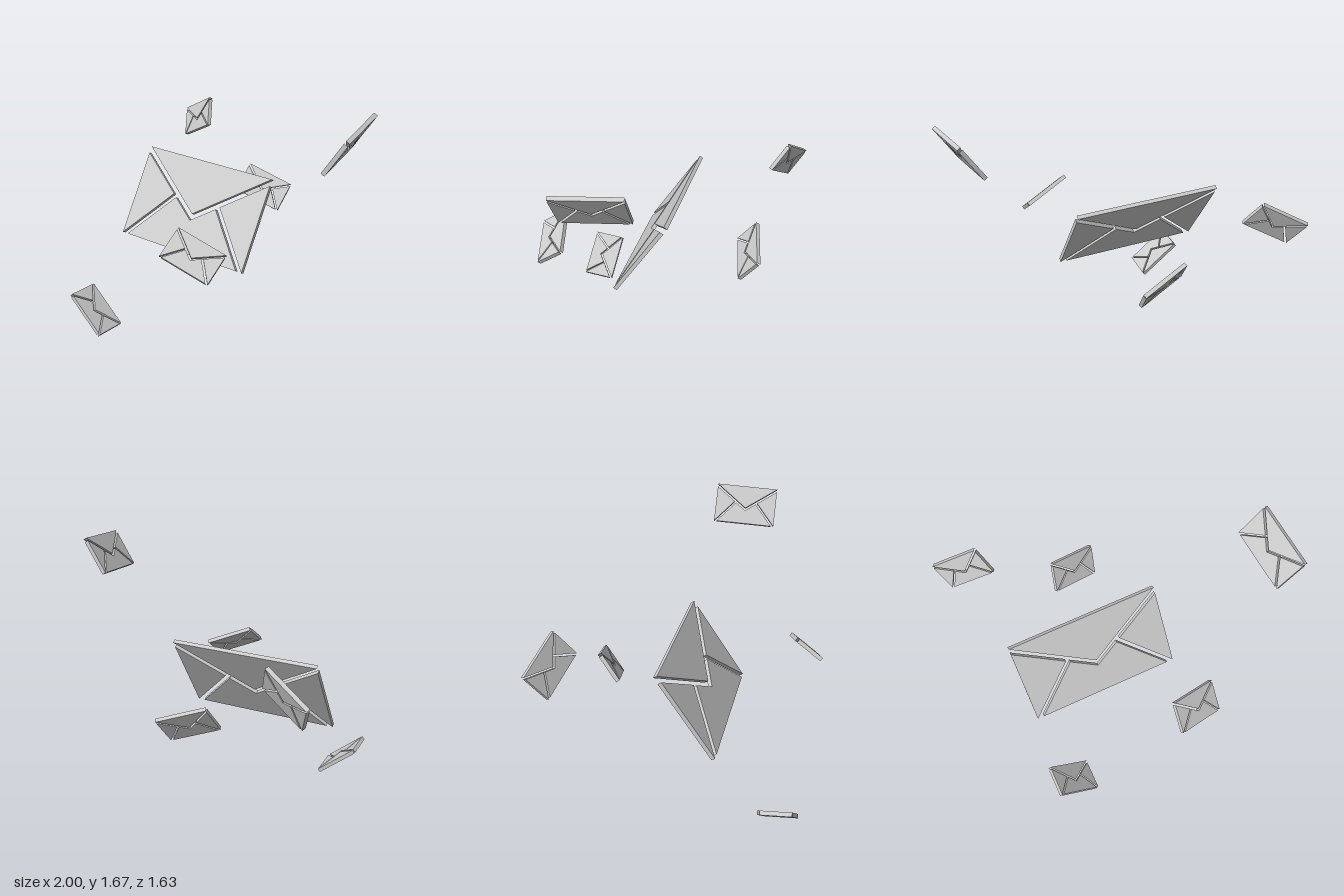
import * as THREE from 'three';

// Flat panel outlines of an envelope 1 wide and 0.63 high, centred on the origin
const HEIGHT = 0.63;
const PANELS = {
  topFlap: [[-0.5, 0.315], [0, -0.05], [0.5, 0.315]],
  rightPanel: [[-0.5, 0.27], [-0.5, -0.315], [-0.19, 0.045]],
  leftPanel: [[0.5, 0.27], [0.19, 0.045], [0.5, -0.315]],
  bottomPanel: [[-0.457, -0.315], [0.457, -0.315], [0.165, 0.025], [0, -0.095], [-0.165, 0.025]],
};
const THICKNESS = 0.027;

// Each envelope: centre, direction along its width, direction towards its flap edge, width
const ENVELOPES = [
  { name: 'largeEnvelope', at: [-0.267, 0.803, 0.08], u: [1, 0, 0], v: [0, 0.524, -0.342], width: 1.005 },
  { name: 'upperLeftEnvelope', at: [0.887, 1.54, 0.15], u: [0.045, -0.03, 0.42], v: [0.145, 0.225, 0], width: 0.42 },
  { name: 'lowerRightEnvelope', at: [-0.703, 0.13, 0.652], u: [0.255, -0.22, 0.02], v: [0, -0.02, -0.21], width: 0.337 },
  { name: 'frontEnvelope', at: [0.18, 0.845, 0.69], u: [0.3, -0.125, -0.065], v: [0.012, 0.125, -0.173], width: 0.335 },
  { name: 'backRightEnvelope', at: [-0.826, 1.105, -0.706], u: [0.28, 0.16, 0.085], v: [-0.07, 0.17, -0.115], width: 0.335 },
  { name: 'backEnvelope', at: [-0.138, 0.745, -0.567], u: [0.315, -0.115, -0.068], v: [0.035, 0.165, -0.125], width: 0.337 },
];

const material = new THREE.MeshStandardMaterial({ color: 0xcccccc, flatShading: true });

// Extrude one panel outline, centred through its thickness
function panelGeometry(points) {
  const shape = new THREE.Shape(points.map(([x, y]) => new THREE.Vector2(x, y)));
  return new THREE.ExtrudeGeometry(shape, { depth: 1, bevelEnabled: false }).translate(0, 0, -0.5);
}

export function createModel() {
  const model = new THREE.Group();
  model.name = 'floatingEnvelopes';
  const geometries = Object.entries(PANELS).map(([name, points]) => [name, panelGeometry(points)]);

  for (const { name, at, u, v, width } of ENVELOPES) {
    const envelope = new THREE.Group();
    envelope.name = name;

    // Orthonormal axes: width, height, face normal
    const xAxis = new THREE.Vector3(...u).normalize();
    const normal = xAxis.clone().cross(new THREE.Vector3(...v)).normalize();
    const yAxis = normal.clone().cross(xAxis);
    envelope.quaternion.setFromRotationMatrix(new THREE.Matrix4().makeBasis(xAxis, yAxis, normal));
    envelope.position.set(...at);
    envelope.scale.set(width, width, THICKNESS);

    for (const [part, geometry] of geometries) {
      const mesh = new THREE.Mesh(geometry, material);
      mesh.name = part;
      envelope.add(mesh);
    }
    model.add(envelope);
  }
  return model;
}
